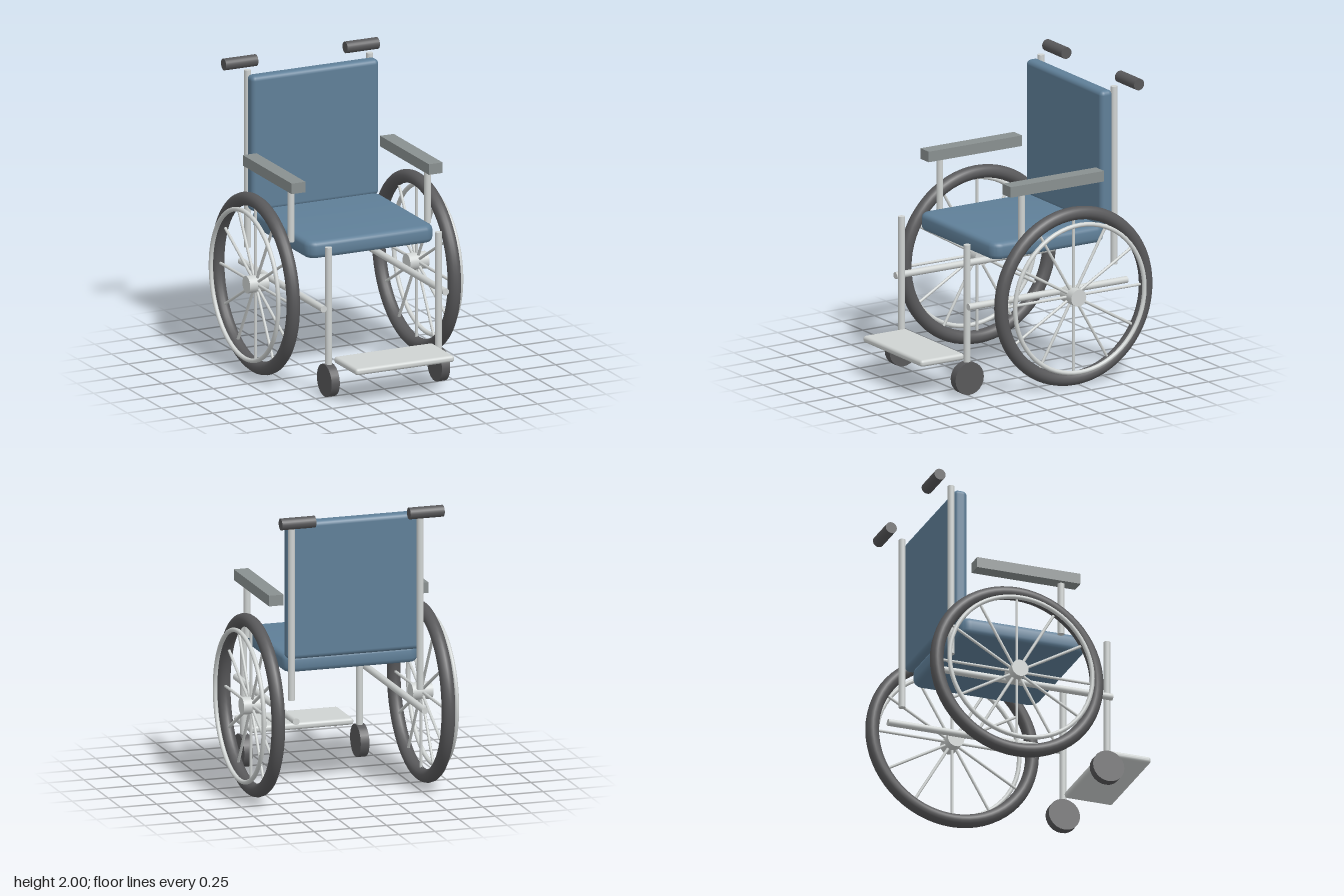
import * as THREE from 'three';
import { RoundedBoxGeometry } from 'three/addons/geometries/RoundedBoxGeometry.js';
import { toCreasedNormals } from 'three/addons/utils/BufferGeometryUtils.js';

const material = (name, color) => {
  const m = new THREE.MeshStandardMaterial({ color });
  m.name = name;
  return m;
};

export function createModel() {
  const model = new THREE.Group();
  model.name = 'wheelchair';
  const fabric = material('blue fabric', 0x5f7f98);
  const metal = material('silver metal', 0xcfd3d2);
  const rubber = material('dark rubber', 0x58585a);
  const pad = material('grey pad', 0x899090);

  const add = (parent, name, geometry, mat, x, y, z) => {
    const mesh = new THREE.Mesh(geometry, mat);
    mesh.name = name;
    mesh.position.set(x, y, z);
    parent.add(mesh);
    return mesh;
  };
  // Cylinders along each axis
  const rodY = (r, length, sides = 16) => new THREE.CylinderGeometry(r, r, length, sides);
  const rodX = (r, length, sides = 24) => rodY(r, length, sides).rotateZ(Math.PI / 2);
  const rodZ = (r, length, sides = 16) => rodY(r, length, sides).rotateX(Math.PI / 2);

  // Cushion with rounded plan corners and a bevelled top and bottom edge
  function cushion(width, height, depth, corner, bevel) {
    const w = width / 2 - bevel, d = depth / 2 - bevel, r = corner - bevel;
    const s = new THREE.Shape();
    s.absarc(w - r, d - r, r, 0, Math.PI / 2);
    s.absarc(r - w, d - r, r, Math.PI / 2, Math.PI);
    s.absarc(r - w, r - d, r, Math.PI, Math.PI * 1.5);
    s.absarc(w - r, r - d, r, Math.PI * 1.5, Math.PI * 2);
    const g = new THREE.ExtrudeGeometry(s, {
      depth: height - 2 * bevel, bevelEnabled: true, bevelSize: bevel,
      bevelThickness: bevel, bevelSegments: 3, curveSegments: 6,
    });
    g.translate(0, 0, bevel - height / 2).rotateX(-Math.PI / 2);
    return toCreasedNormals(g, 0.6);
  }

  // Seat, backrest and footplate
  add(model, 'seat', cushion(0.93, 0.116, 0.88, 0.075, 0.032), fabric, 0, 0.957, -0.115);
  add(model, 'backrest', new RoundedBoxGeometry(0.93, 0.925, 0.093, 3, 0.032), fabric, 0, 1.4625, -0.556);
  add(model, 'footplate', new RoundedBoxGeometry(0.72, 0.046, 0.338, 3, 0.02), metal, 0, 0.25, 0.65);

  // Large wheel: tyre, hub, spokes and offset hand rim
  function buildWheel(side) {
    const wheel = new THREE.Group();
    wheel.name = side > 0 ? 'leftWheel' : 'rightWheel';
    wheel.position.set(side * 0.587, 0.613, -0.215);
    const ring = (R, r) => new THREE.TorusGeometry(R, r, 14, 64).rotateY(Math.PI / 2);
    add(wheel, 'tyre', ring(0.561, 0.045), rubber, 0, 0, 0);
    add(wheel, 'handRim', ring(0.501, 0.015), metal, side * 0.079, 0, 0);
    add(wheel, 'hub', rodX(0.058, 0.14), metal, side * -0.003, 0, 0);
    for (let i = 0; i < 12; i++) {
      const spoke = rodY(0.01, 0.53, 8).translate(0, 0.265, 0).rotateX((i * Math.PI) / 6);
      add(wheel, 'spoke', spoke, metal, 0, 0, 0);
    }
    model.add(wheel);
  }

  // Parts mirrored on both sides
  for (const side of [1, -1]) {
    const label = side > 0 ? 'left' : 'right';
    buildWheel(side);
    add(model, label + 'BackPost', rodY(0.023, 1.21), metal, side * 0.445, 1.34, -0.62);
    add(model, label + 'PushGrip', rodX(0.039, 0.235), rubber, side * 0.443, 1.963, -0.742);
    add(model, label + 'SideRail', rodZ(0.023, 1.23), metal, side * 0.445, 0.613, -0.105);
    add(model, label + 'Armrest', new THREE.BoxGeometry(0.1, 0.072, 0.725), pad, side * 0.5, 1.378, -0.115);
    add(model, label + 'ArmrestPost', rodY(0.023, 0.37), metal, side * 0.499, 1.165, 0.13);
    add(model, label + 'FrontPost', rodY(0.023, 0.81), metal, side * 0.4, 0.62, 0.49);
    add(model, label + 'Caster', rodX(0.11, 0.06), rubber, side * 0.402, 0.12, 0.49);
  }
  return model;
}
